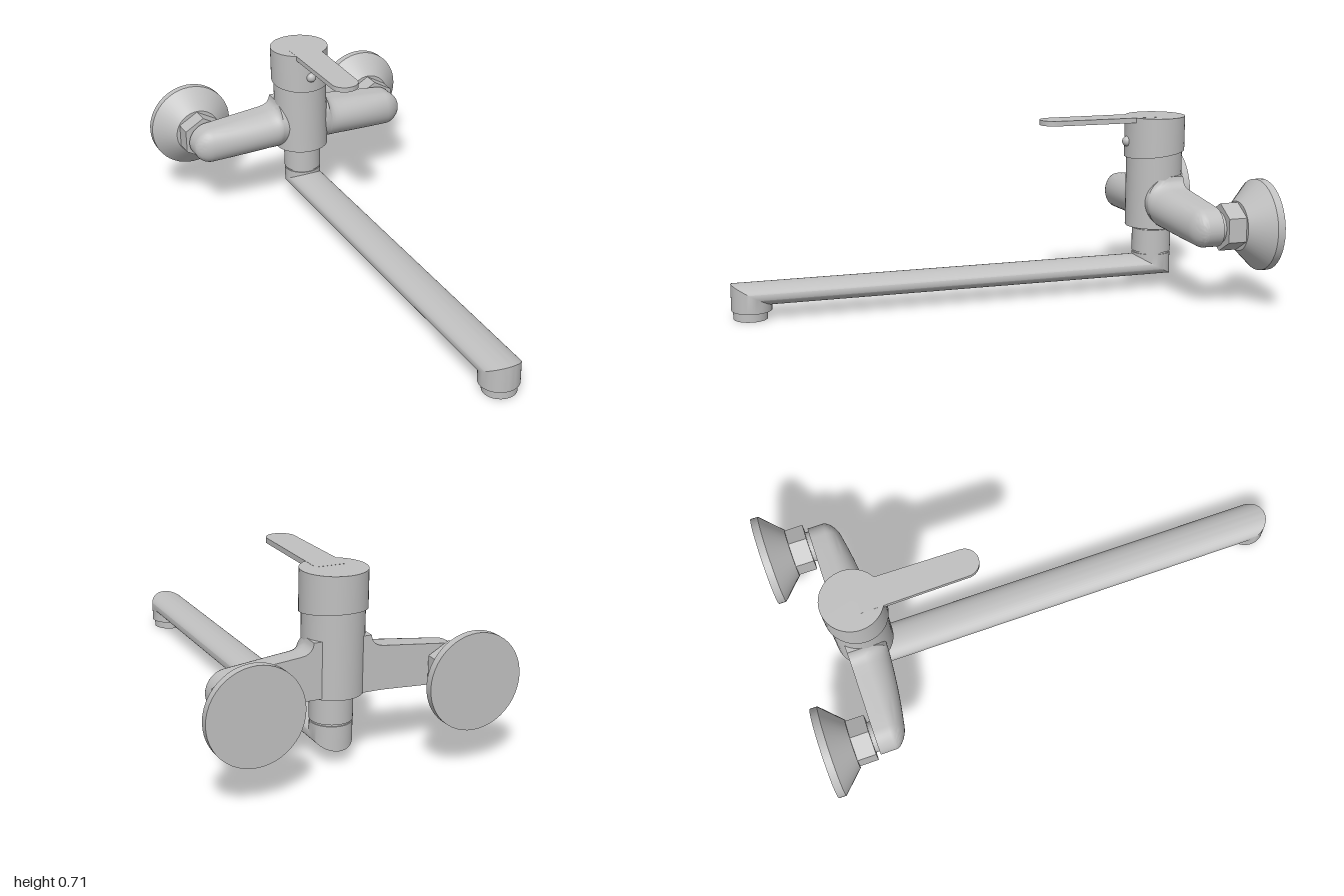
import * as THREE from 'three';
import { toCreasedNormals } from 'three/addons/utils/BufferGeometryUtils.js';

const chrome = new THREE.MeshStandardMaterial({ color: 0xc0c0c0 });
chrome.name = 'satin chrome';
const AXIS_Z = -0.72; // vertical axis of the mixer body

// Closed skin over a list of equally long rings of [x, y, z] points
function loft(rings, crease) {
  const n = rings[0].length, pos = rings.flat(2), index = [];
  for (let i = 0; i < rings.length - 1; i++) {
    for (let j = 0; j < n; j++) {
      const a = i * n + j, b = i * n + (j + 1) % n;
      index.push(a, b, b + n, a, b + n, a + n);
    }
  }
  [0, rings.length - 1].forEach((r, end) => {
    const mid = [0, 1, 2].map(k => rings[r].reduce((s, p) => s + p[k], 0) / n);
    const c = pos.length / 3;
    pos.push(...mid);
    for (let j = 0; j < n; j++) {
      const a = r * n + j, b = r * n + (j + 1) % n;
      if (end) index.push(c, a, b); else index.push(c, b, a);
    }
  });
  const g = new THREE.BufferGeometry();
  g.setAttribute('position', new THREE.Float32BufferAttribute(pos, 3));
  g.setIndex(index);
  return toCreasedNormals(g, crease);
}

// Arms: flat back, rounded front, tapering to rounded ends
function armRing(x) {
  const u = Math.abs(x), t = (u - 0.16) / 0.245;
  let top = 0.425 - 0.025 * t, bottom = 0.262 - 0.012 * t;
  if (u < 0.16) { // fillet into the body
    const f = Math.min(1, (0.16 - u) / 0.05);
    top = 0.425 + 0.045 * (1 - Math.sqrt(1 - f * f));
    bottom = 0.262;
  }
  const k = u > 0.41 ? Math.sqrt(Math.max(0, 1 - ((u - 0.41) / 0.073) ** 2)) : 1;
  const mid = (top + bottom) / 2, h = (top - bottom) / 2 * k;
  const depth = (0.095 - 0.045 * (u / 0.45) ** 2) * k;
  const ring = [[x, mid + h, -0.8]];
  for (let i = 0; i <= 20; i++) {
    const a = Math.PI * i / 20;
    ring.push([x, mid + h * Math.cos(a), -0.74 + depth * Math.sin(a)]);
  }
  ring.push([x, mid - h, -0.8]);
  return ring;
}

// Spout ring: a circle around a vertical axis, its height given by a rule
function spoutRing(z, height) {
  return Array.from({ length: 48 }, (_, i) => {
    const a = i / 48 * Math.PI * 2;
    return [0.077 * Math.cos(a), height(Math.sin(a)), z + 0.077 * Math.sin(a)];
  });
}

export function createModel() {
  const group = new THREE.Group();
  const add = (name, geometry, x = 0, y = 0, z = 0, parent = group) => {
    const m = new THREE.Mesh(geometry, chrome);
    m.name = name;
    m.position.set(x, y, z);
    parent.add(m);
    return m;
  };
  const upright = (name, r, y0, y1, z) =>
    add(name, new THREE.CylinderGeometry(r, r, y1 - y0, 48), 0, (y0 + y1) / 2, z);

  // Body and cap; the underside of the cap rises towards the back
  upright('body', 0.112, 0.258, 0.6, AXIS_Z);
  const cap = new THREE.CylinderGeometry(0.121, 0.121, 0.165, 48);
  const p = cap.attributes.position;
  for (let i = 0; i < p.count; i++) {
    if (p.getY(i) < 0) p.setY(i, -0.0825 + 0.03 * (0.121 - p.getZ(i)) / 0.242);
  }
  add('cap', cap, 0, 0.6225, AXIS_Z);
  add('temperatureButton', new THREE.SphereGeometry(0.021, 24, 16), 0, 0.605, -0.602);

  // Lever with a rounded tip
  const lever = new THREE.Shape();
  lever.moveTo(-0.06, 0.7);
  lever.lineTo(-0.055, 0.285);
  lever.absarc(0, 0.285, 0.055, Math.PI, Math.PI * 2, false);
  lever.lineTo(0.06, 0.7);
  const leverGeometry = new THREE.ExtrudeGeometry(lever, { depth: 0.02, bevelEnabled: false, curveSegments: 24 });
  leverGeometry.rotateX(-Math.PI / 2);
  add('lever', toCreasedNormals(leverGeometry, 0.6), 0, 0.6855, 0);

  // Both arms in one sweep through the body
  const half = [0.02, 0.11, 0.113, 0.117, 0.122, 0.13, 0.14, 0.16, 0.2, 0.25, 0.3, 0.35, 0.41];
  for (let i = 1; i <= 10; i++) half.push(0.41 + 0.0729 * Math.sin(i / 10 * Math.PI / 2));
  const xs = [...half.map(x => -x).reverse(), ...half];
  add('arms', loft(xs.map(armRing), 0.9));

  // Wall connections
  for (const side of [-1, 1]) {
    const wall = new THREE.Group();
    wall.name = side > 0 ? 'leftWallConnection' : 'rightWallConnection';
    wall.position.set(side * 0.41, 0.322, 0);
    group.add(wall);
    const along = (name, rFront, rBack, zFront, zBack, sides) => {
      const g = new THREE.CylinderGeometry(rFront, rBack, zFront - zBack, sides);
      g.rotateX(Math.PI / 2);
      return add(name, sides === 6 ? toCreasedNormals(g, 0.3) : g, 0, 0, (zFront + zBack) / 2, wall);
    };
    along('pipeStub', 0.06, 0.06, -0.78, -0.83, 32);
    along('hexNut', 0.093, 0.093, -0.815, -0.895, 6);
    along('wallRoseCone', 0.096, 0.177, -0.888, -0.97, 48);
    along('wallRoseRim', 0.177, 0.177, -0.97, -1, 48);
  }

  // Swivel neck
  upright('neckCore', 0.073, 0.13, 0.27, -0.715);
  upright('neckCollar', 0.078, 0.153, 0.247, -0.715);

  // Flattened spout with a mitred bend at each end
  const mitre = s => 0.0945 + 0.0425 * s;
  add('spout', loft([
    spoutRing(-0.715, () => 0.146),
    spoutRing(-0.715, mitre),
    spoutRing(0.923, mitre),
    spoutRing(0.923, () => 0.033),
  ], 0.5));
  upright('aerator', 0.065, 0, 0.04, 0.928);

  return group;
}
